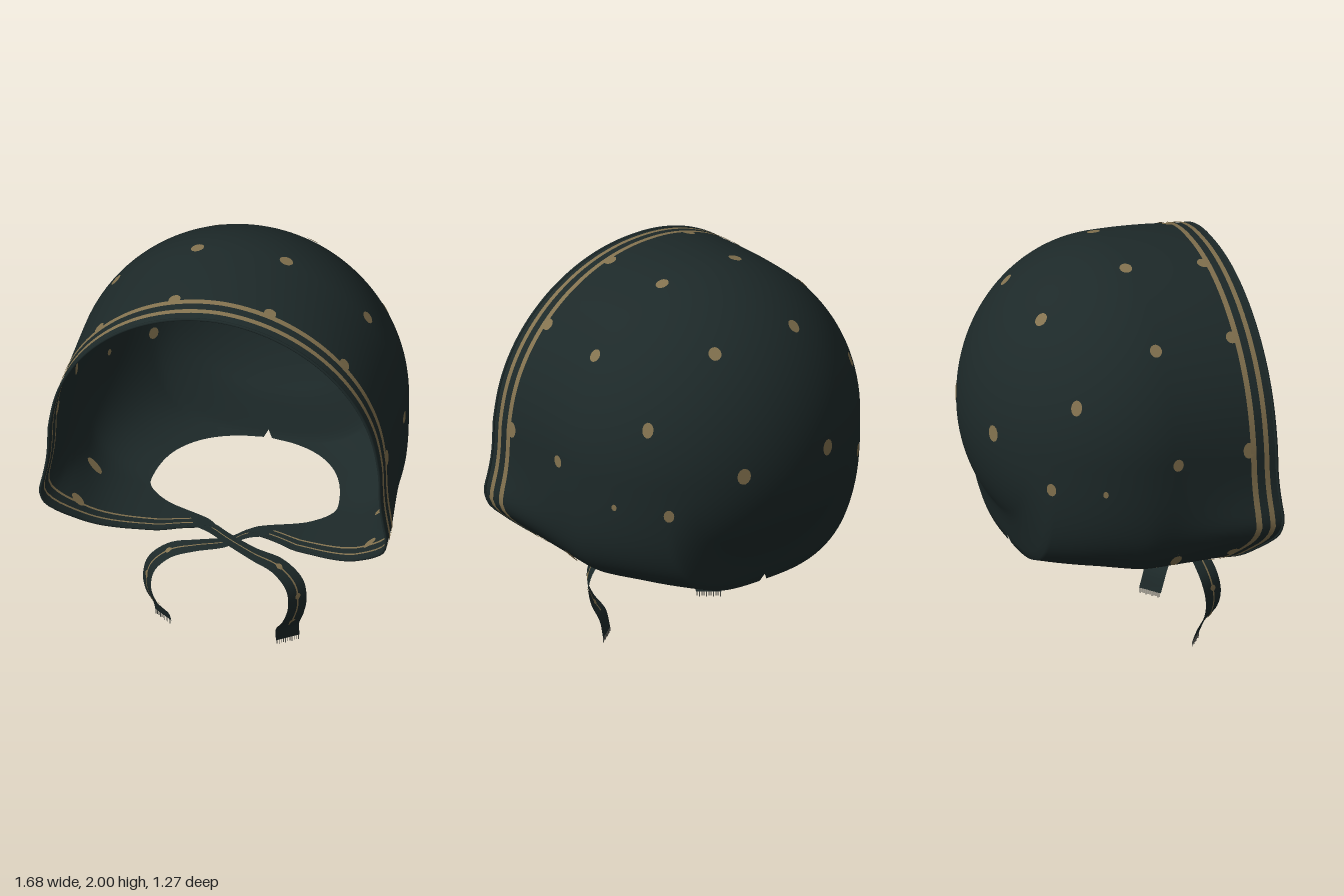
import * as THREE from 'three';
import { mergeVertices } from 'three/addons/utils/BufferGeometryUtils.js';

const { PI, sin, cos, abs, sqrt, pow, min, max, sign } = Math;
const V = (x, y, z) => new THREE.Vector3(x, y, z);
const smooth = (a, b, x) => THREE.MathUtils.smoothstep(x, a, b);
const mat = (name, color) => {
  const m = new THREE.MeshStandardMaterial({ color, side: THREE.DoubleSide });
  m.name = name;
  return m;
};

// piecewise linear lookup in a list of [key, value]
function lookup(list, x) {
  if (x <= list[0][0]) return list[0][1];
  for (let i = 1; i < list.length; i++) {
    const [x0, y0] = list[i - 1], [x1, y1] = list[i];
    if (x <= x1) return y0 + (y1 - y0) * (x - x0) / (x1 - x0);
  }
  return list[list.length - 1][1];
}

// surface from a rule giving a point for each row and column
function gridGeometry(rows, cols, point) {
  const pos = [], idx = [];
  for (let i = 0; i <= rows; i++)
    for (let j = 0; j <= cols; j++) {
      pos.push(...point(i / rows, j / cols).toArray());
      if (i < rows && j < cols) {
        const a = i * (cols + 1) + j, b = a + cols + 1;
        idx.push(a, b, a + 1, b, b + 1, a + 1);
      }
    }
  let g = new THREE.BufferGeometry();
  g.setAttribute('position', new THREE.Float32BufferAttribute(pos, 3));
  g.setIndex(idx);
  g = mergeVertices(g, 1e-4);
  g.computeVertexNormals();
  return g;
}

// Bonnet shape: rounded cross-sections from the back pole to the face opening.
const BACK = -0.63, FRONT = 0.6, MID = 1.2;
const frontEdge = [[-PI / 2, 0.587], [0, 0.612], [0.2, 0.628], [0.33, 0.634], [0.5, 0.6], [0.75, 0.53], [1.14, 0.44], [1.4, 0.38], [1.55, 0.3]];
const squareness = [[-0.63, 2], [-0.5, 2.4], [-0.42, 3], [0, 4]];

// half-width of the neck opening: round at the back, closing to two tips in front
function neckGap(z) {
  if (z < 0.05) return 0.45 * sqrt(max(0, 1 - pow((z - 0.05) / 0.47, 2)));
  return 0.45 - 0.38 * smooth(0.05, 0.6, z);
}

function section(z) {
  const c = z < 0.1 ? sqrt(max(0, 1 - pow((0.1 - z) / 0.73, 2))) : 1;
  return {
    w: 0.79 * c,
    up: 0.8 * c - (z > 0.1 ? 0.05 * pow((z - 0.1) / 0.5, 2) : 0),
    down: min(0.65, c * (0.75 + 0.2 * smooth(-0.5, -0.4, z))) + 0.022 * smooth(-0.2, 0.1, z),
    n: lookup(squareness, z),
  };
}

// a runs from -PI/2 (crown) through 0 (side) to PI/2 (under the chin)
function surface(z, a, side) {
  const { w, up, down, n } = section(z);
  const e = a > 0 ? 2 / n : 1;
  const flare = 0.064 * smooth(0.05, 0.6, z) * Math.exp(-pow((a - 0.34) / 0.23, 2));
  const x = w * pow(max(0, cos(a)), e) + flare;
  const y = a > 0 ? MID - down * pow(sin(a), e) : MID - up * sin(a);
  return V(side * x, y, z > 0 ? z * lookup(frontEdge, a) / FRONT : z);
}

function normalAt(z, a, side) {
  const d = 0.004;
  const dz = surface(z + d, a, side).sub(surface(z - d, a, side));
  const da = surface(z, a + d, side).sub(surface(z, a - d, side));
  return dz.cross(da).normalize();
}

// q from -1 to 1 runs from one neck edge over the crown to the other
function angleAt(z, q) {
  const k = abs(q) * 2 - 1;
  if (k <= 0) return k * PI / 2;
  const { w, n } = section(z);
  const gap = neckGap(z);
  const end = gap > 0 ? Math.acos(pow(min(1, gap / w), n / 2)) : PI / 2;
  return end * k * k * (3 - 2 * k);
}

// angle on a section for a wanted height
function angleForHeight(z, y) {
  const { up, down, n } = section(z);
  return y >= MID ? -Math.asin(min(1, (y - MID) / up)) : Math.asin(min(1, pow((MID - y) / down, n / 2)));
}

export function createModel() {
  const model = new THREE.Group();
  model.name = 'bonnet';
  const fabric = mat('dark green fabric', 0x1d2929);
  const tan = mat('tan print', 0x83724f);
  const thread = mat('grey thread', 0x50514c);
  const add = (name, geometry, material, parent = model) => {
    const m = new THREE.Mesh(geometry, material);
    m.name = name;
    parent.add(m);
    return m;
  };

  // hood with an open face and neck
  add('hood', gridGeometry(72, 120, (t, u) => {
    const z = BACK + (FRONT - BACK) * pow(t, 1.8), q = u * 2 - 1;
    return surface(z, angleAt(z, q), sign(q) || 1);
  }), fabric);

  // rolled hem around the face opening
  const hem = [];
  for (let i = 0; i <= 60; i++) {
    const q = i / 30 - 1;
    hem.push(surface(FRONT, angleAt(FRONT, q), sign(q) || 1));
  }
  add('faceHem', new THREE.TubeGeometry(new THREE.CatmullRomCurve3(hem), 160, 0.007, 6), fabric);

  // two printed bands behind the hem, narrower on the lining
  for (const [middle, width] of [[0.55, 0.024], [0.487, 0.027]])
    for (const [lift, share] of [[0.005, 1], [-0.005, 0.55]])
      add('rimStripe', gridGeometry(2, 112, (t, u) => {
        const q = (u * 2 - 1) * 0.95, z = middle + (t - 0.5) * width * share, s = sign(q) || 1;
        const a = max(angleAt(z, q), -PI / 2 + 0.001);
        const n = normalAt(z, a, s).multiplyScalar(s * lift);
        return surface(z, a, s).add(n);
      }), tan);

  // printed dots: [depth, height, radius, stretch]
  const dots = [
    [0.08, 1.97, 0.03, 1.1], [0.08, 1.715, 0.029, 1.1], [0.12, 1.2, 0.026, 1.2], [0.16, 0.665, 0.026, 2],
    [-0.31, 1.48, 0.027, 1.4], [-0.42, 1.06, 0.025, 1.3], [-0.593, 1.245, 0.034, 1.2], [-0.35, 1.785, 0.031, 1.1],
    [-0.21, 1.07, 0.013, 1.3], [0.465, 1.94, 0.03, 1], [0.465, 1.715, 0.03, 1], [0.465, 1.22, 0.028, 1.4], [0.465, 0.67, 0.028, 1.4],
  ];
  for (const side of [1, -1])
    for (const [z, y, r, stretch] of dots) {
      const a = angleForHeight(z, y), n = normalAt(z, a, side);
      const p = surface(z, a, side);
      for (const lift of [0.004, -0.004]) {
        const dot = add('dot', new THREE.CircleGeometry(r, 14), tan);
        dot.scale.y = stretch;
        dot.position.copy(p).addScaledVector(n, lift);
        dot.lookAt(dot.position.clone().add(n));
      }
    }

  // crossed chin ties with frayed ends
  for (const side of [1, -1]) {
    const tie = new THREE.Group();
    tie.name = side > 0 ? 'leftTie' : 'rightTie';
    model.add(tie);
    const drop = side > 0 ? 0.025 : 0;
    const path = new THREE.CatmullRomCurve3([
      V(-0.17, 0.537, 0.28), V(-0.08, 0.527, 0.31), V(0, 0.512 + 0.01 * side, 0.36), V(0.14, 0.492, 0.41), V(0.26, 0.455, 0.425),
      V(0.345, 0.375, 0.445), V(0.362, 0.28, 0.46), V(0.34, 0.19, 0.455), V(0.305, 0.11, 0.42), V(0.3, 0.05 - drop, 0.395)]);
    const across = new THREE.CatmullRomCurve3([
      V(0, 0, 1), V(0, 0, 1), V(0, -0.05, 1), V(-0.05, -0.1, 1), V(-0.25, -0.15, 1),
      V(-0.45, -0.05, 0.9), V(-0.55, 0, 0.85), V(-0.65, 0, 0.75), V(-0.78, 0, 0.62), V(-0.8, 0, 0.6)]);
    const point = (t, u, lift = 0) => {
      const d = across.getPoint(t).normalize(), p = path.getPoint(t);
      const n = path.getTangent(t).cross(d).normalize();
      const width = 0.08 + 0.04 * smooth(0.25, 0.6, t);
      p.addScaledVector(d, (u - 0.5) * width).addScaledVector(n, lift);
      p.x *= side;
      return p;
    };
    add('ribbon', gridGeometry(48, 4, (t, u) => point(t, u)), fabric, tie);
    for (const lift of [0.004, -0.004]) {
      add('ribbonStripe', gridGeometry(40, 1, (t, u) => point(0.1 + 0.76 * t, 0.46 + 0.08 * u, lift)), tan, tie);
      for (const c of [0.45, 0.62, 0.8])
        add('ribbonDot', gridGeometry(6, 2, (t, u) =>
          point(c + (t - 0.5) * 0.04, 0.5 + (u - 0.5) * 0.3 * sin(PI * t), lift * 1.3)), tan, tie);
    }
    for (let i = 0; i < 11; i++) {
      const p = point(1, (i + 0.5) / 11), len = 0.02 + 0.005 * (i % 3 === 0);
      const strand = add('fringe', new THREE.BoxGeometry(0.003, len, 0.003), thread, tie);
      strand.position.set(p.x, p.y - len / 2, p.z);
    }
  }
  return model;
}
